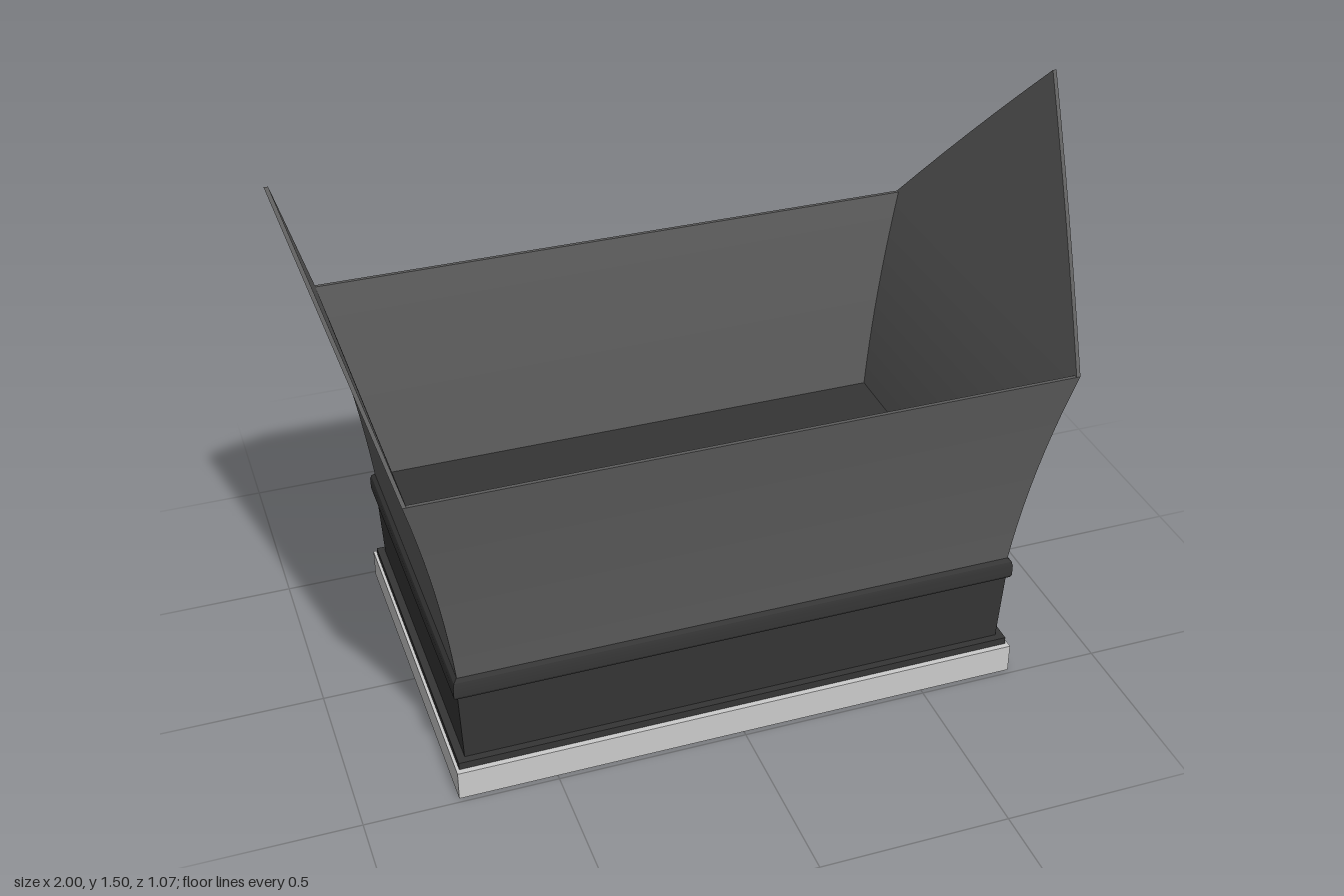
import * as THREE from 'three';
import { toCreasedNormals } from 'three/addons/utils/BufferGeometryUtils.js';

const stone = new THREE.MeshStandardMaterial({ color: 0xcccccc });
const darkMetal = new THREE.MeshStandardMaterial({ color: 0x353535, side: THREE.DoubleSide });
const greyMetal = new THREE.MeshStandardMaterial({ color: 0x5c5c5c, side: THREE.DoubleSide });

// Sweep a closed profile of [halfWidth, halfDepth, y] points around a mitred rectangle.
function frameGeometry(profile) {
  const corners = [[1, 1], [1, -1], [-1, -1], [-1, 1]];
  const positions = [];
  const at = ([w, d, y], [sx, sz]) => [w * sx, y, d * sz];
  corners.forEach((c0, i) => {
    const c1 = corners[(i + 1) % 4];
    profile.forEach((p, j) => {
      const q = profile[(j + 1) % profile.length];
      const a = at(p, c0), b = at(p, c1), c = at(q, c1), d = at(q, c0);
      positions.push(...a, ...b, ...c, ...a, ...c, ...d);
    });
  });
  const geometry = new THREE.BufferGeometry();
  geometry.setAttribute('position', new THREE.Float32BufferAttribute(positions, 3));
  return toCreasedNormals(geometry, 0.4);
}

function add(group, name, geometry, material) {
  const mesh = new THREE.Mesh(geometry, material);
  mesh.name = name;
  group.add(mesh);
  return mesh;
}

export function createModel() {
  const group = new THREE.Group();
  group.name = 'flaredPlanter';

  // Stone slab
  add(group, 'baseSlab', new THREE.BoxGeometry(1.51, 0.08, 0.974).translate(0, 0.04, 0), stone);

  // Thick plinth with a foot, a slightly leaning band and a rounded moulding
  const plinth = [
    [0.747, 0.08], [0.747, 0.1], [0.727, 0.1], [0.736, 0.3], [0.743, 0.3],
    [0.747, 0.308], [0.747, 0.338], [0.744, 0.35], [0.735, 0.36],
    [0.545, 0.36], [0.545, 0.08],
  ].map(([w, y]) => [w, w - 0.275, y]);
  add(group, 'plinth', frameGeometry(plinth), darkMetal);

  // Flared sheet walls, curving outwards as they rise
  const bottom = 0.36, rim = 0.933, thickness = 0.01, steps = 10;
  const outer = [];
  for (let i = 0; i <= steps; i++) {
    const t = i / steps;
    outer.push([
      0.735 + 0.06 * t + 0.049 * t * t,
      0.462 + 0.047 * t + 0.025 * t * t,
      bottom + (rim - bottom) * t,
    ]);
  }
  const inner = outer.map(([w, d, y]) => [w - thickness, d - thickness, y]).reverse();
  add(group, 'flaredWalls', frameGeometry([...outer, ...inner]), greyMetal);

  // Pointed gables continuing the two end walls
  const shape = new THREE.Shape();
  shape.moveTo(-0.534, rim);
  shape.lineTo(0.534, rim);
  shape.quadraticCurveTo(0.275, 1.225, 0, 1.5);
  shape.quadraticCurveTo(-0.275, 1.225, -0.534, rim);
  const gable = new THREE.ExtrudeGeometry(shape, { depth: thickness, bevelEnabled: false, curveSegments: 6 });
  gable.rotateY(Math.PI / 2).translate(0.844 - thickness, 0, 0);
  const pos = gable.attributes.position;
  for (let i = 0; i < pos.count; i++) {
    pos.setX(i, pos.getX(i) + (pos.getY(i) - rim) * 0.275);
  }
  gable.computeVertexNormals();
  add(group, 'leftGable', gable, greyMetal);
  add(group, 'rightGable', gable, greyMetal).rotation.y = Math.PI;

  return group;
}
